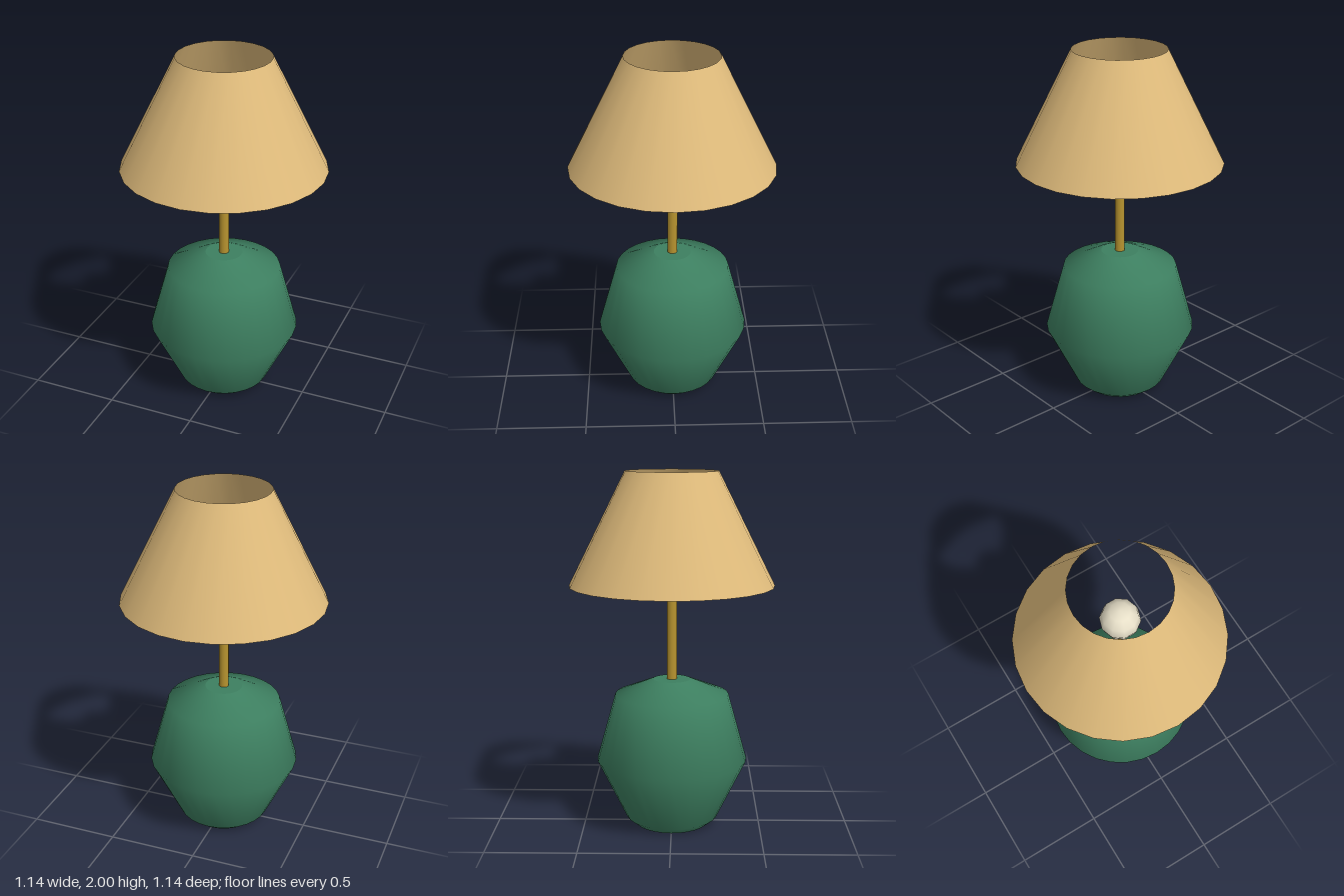
import * as THREE from 'three';

export function createModel() {
  const group = new THREE.Group();
  group.name = 'tableLamp';

  const material = (name, color, side = THREE.FrontSide) => {
    const m = new THREE.MeshStandardMaterial({ color, side });
    m.name = name;
    return m;
  };
  const glaze = material('green glaze', 0x3d7f60);
  const brass = material('brass', 0xb8942f);
  const linen = material('tan linen', 0xe0bc7c, THREE.DoubleSide);
  const glass = material('warm white glass', 0xf0e8d0);

  const add = (name, geometry, mat, y = 0) => {
    const mesh = new THREE.Mesh(geometry, mat);
    mesh.name = name;
    mesh.position.y = y;
    group.add(mesh);
    return mesh;
  };

  // Ceramic body, smooth around its profile
  const profile = [[0.21, 0], [0.26, 0.04], [0.425, 0.38], [0.32, 0.757], [0.105, 0.843]]
    .map(([r, y]) => new THREE.Vector2(r, y));
  add('base', new THREE.LatheGeometry(profile, 28), glaze);

  // Flat discs closing the body
  add('baseTop', new THREE.CircleGeometry(0.105, 28).rotateX(-Math.PI / 2), glaze, 0.843);
  add('baseBottom', new THREE.CircleGeometry(0.21, 28).rotateX(Math.PI / 2), glaze);

  // Stem runs from the body into the bulb
  add('stem', new THREE.CylinderGeometry(0.028, 0.028, 0.73, 12), brass, 1.195);

  // Bulb hidden inside the shade
  add('bulb', new THREE.SphereGeometry(0.107, 10, 6), glass, 1.625);

  // Open conical shade
  add('shade', new THREE.CylinderGeometry(0.257, 0.57, 0.625, 24, 1, true), linen, 1.6875);

  return group;
}
